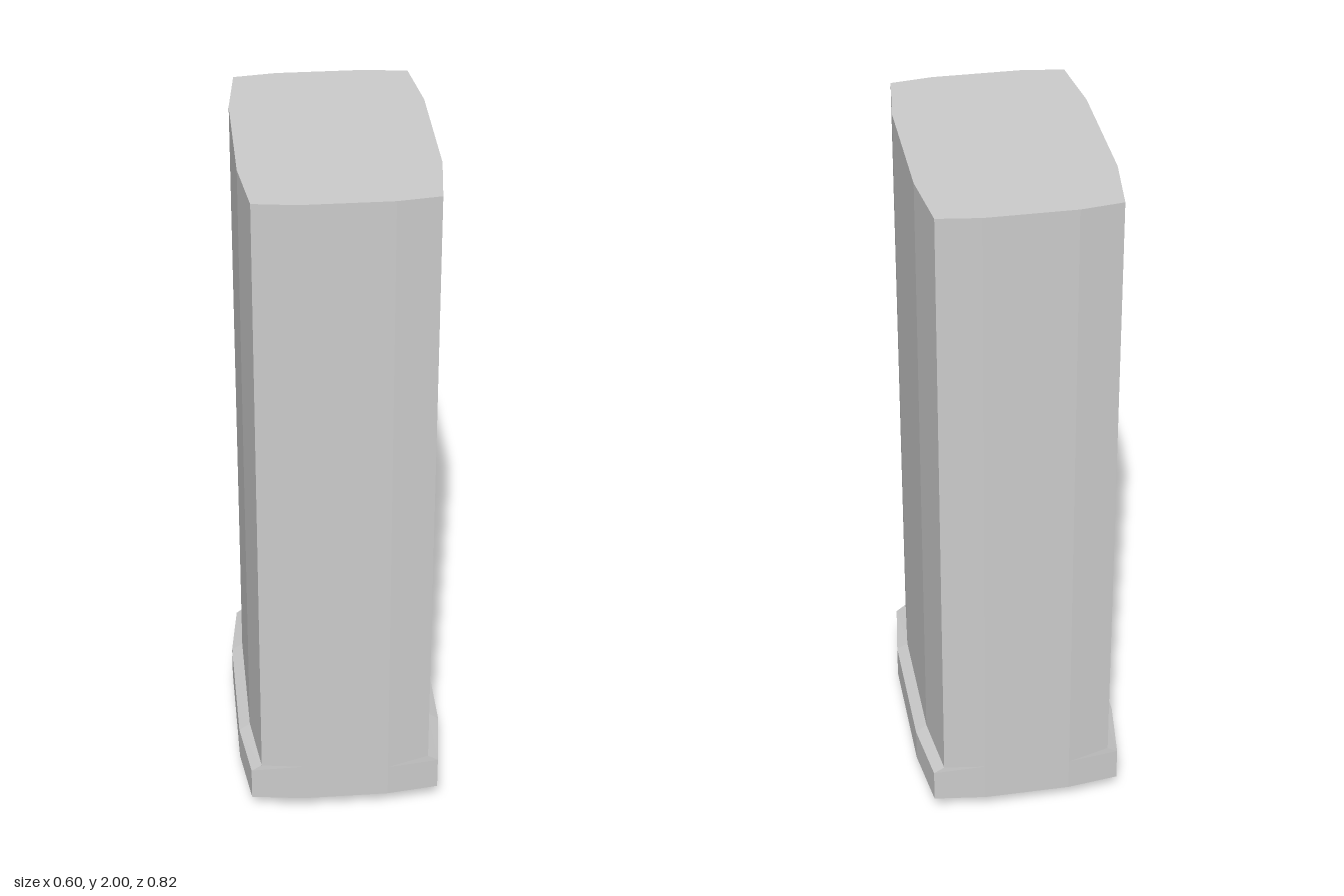
import * as THREE from 'three';

// Mirrors one quarter outline (from the +x side round to +z) into a closed 12-point loop.
function ring(y, quarter) {
  const back = [...quarter].reverse();
  return [
    ...quarter,
    ...back.map(([x, z]) => [-x, z]),
    ...quarter.map(([x, z]) => [-x, -z]),
    ...back.map(([x, z]) => [x, -z]),
  ].map(([x, z]) => new THREE.Vector3(x, y, z));
}

// Skins a stack of rings from bottom to top, with optional flat caps.
function loft(name, rings, material, capBottom, capTop) {
  const points = [];
  const tri = (a, b, c) => {
    if (new THREE.Triangle(a, b, c).getArea() > 1e-7) points.push(a, b, c);
  };
  const n = rings[0].length;
  for (let i = 0; i < n; i++) {
    const j = (i + 1) % n;
    for (let k = 0; k < rings.length - 1; k++) {
      const lo = rings[k], hi = rings[k + 1];
      tri(lo[i], hi[i], lo[j]);
      tri(lo[j], hi[i], hi[j]);
    }
    const first = rings[0], last = rings[rings.length - 1];
    if (capBottom) tri(new THREE.Vector3(0, first[0].y, 0), first[i], first[j]);
    if (capTop) tri(new THREE.Vector3(0, last[0].y, 0), last[j], last[i]);
  }
  const geometry = new THREE.BufferGeometry().setFromPoints(points);
  geometry.computeVertexNormals();
  const mesh = new THREE.Mesh(geometry, material);
  mesh.name = name;
  return mesh;
}

export function createModel() {
  const model = new THREE.Group();
  model.name = 'column';
  const grey = new THREE.MeshStandardMaterial({ color: 0xcccccc, flatShading: true });

  // Quarter outlines: bulged shaft, wider foot, and the small flat underside.
  const shaft = [[0.268, 0.197], [0.245, 0.393], [0.125, 0.41]];
  const foot = [[0.3, 0.2], [0.275, 0.39], [0.125, 0.41]];
  const underside = [[0.125, 0.2], [0.125, 0.2], [0.125, 0.2]];

  // Tall shaft with a flat top
  model.add(loft('shaft', [ring(0.17, shaft), ring(2, shaft)], grey, false, true));

  // Side lips with a sloped shoulder up to the shaft
  model.add(loft('footRim', [ring(0.05, foot), ring(0.15, foot), ring(0.17, shaft)], grey, false, false));

  // Shallow tapered base
  model.add(loft('taperedBase', [ring(0, underside), ring(0.05, foot)], grey, true, false));

  return model;
}
